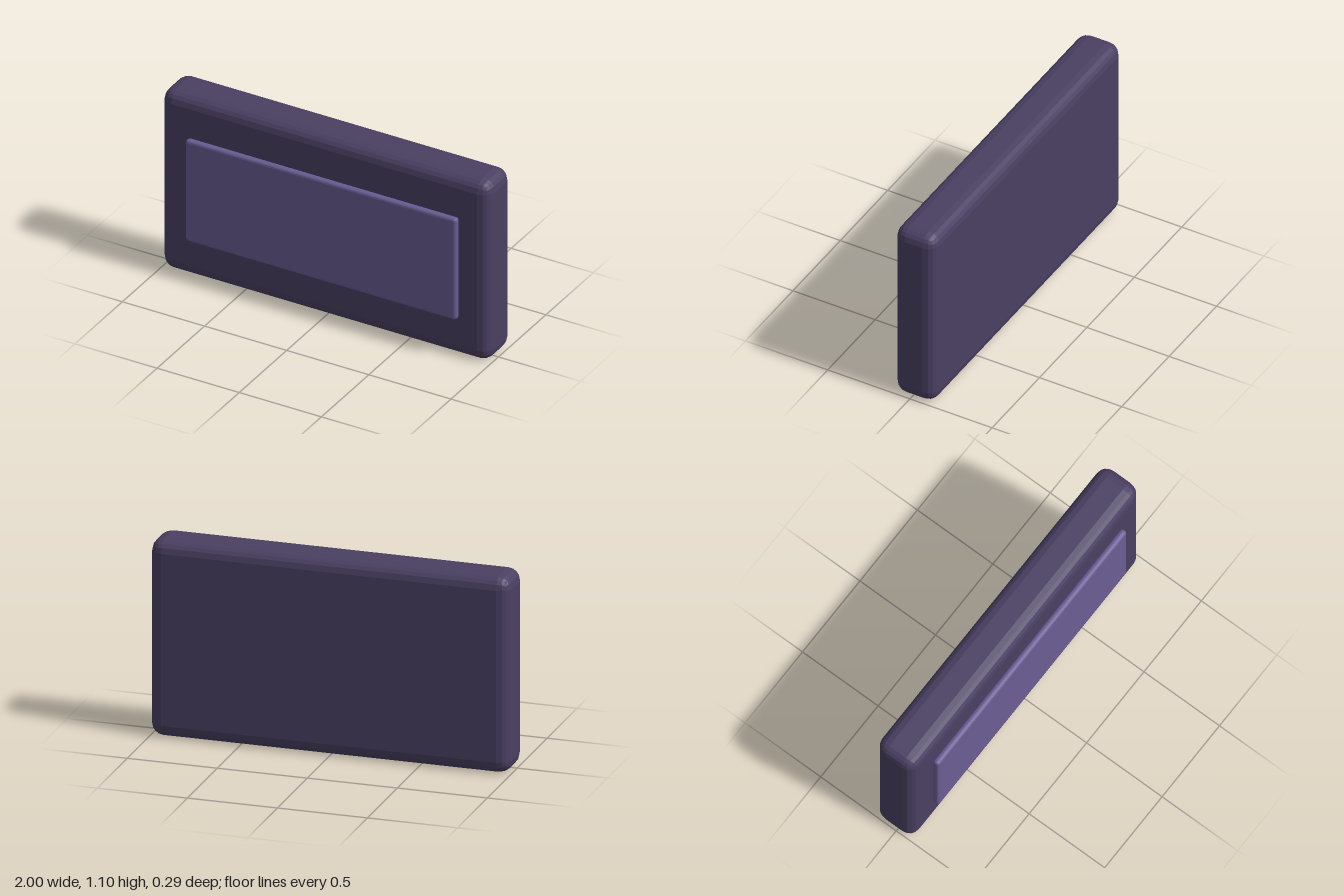
import * as THREE from 'three';
import { RoundedBoxGeometry } from 'three/addons/geometries/RoundedBoxGeometry.js';

// A softly bevelled slab with two facets on each half of the bevel
function slab(name, [w, h, d], radius, color, [x, y, z]) {
  const material = new THREE.MeshStandardMaterial({ color, flatShading: true });
  const mesh = new THREE.Mesh(new RoundedBoxGeometry(w, h, d, 2, radius), material);
  mesh.name = name;
  mesh.position.set(x, y, z);
  return mesh;
}

export function createModel() {
  const group = new THREE.Group();
  group.name = 'panelBlock';

  // Thick body standing on the ground
  group.add(slab('body', [2, 1.1, 0.25], 0.07, 0x4a4063, [0, 0.55, -0.02]));

  // Thin raised panel resting on the front face
  group.add(slab('frontPanel', [1.65, 0.622, 0.04], 0.018, 0x6a5d94, [0, 0.552, 0.125]));

  return group;
}
